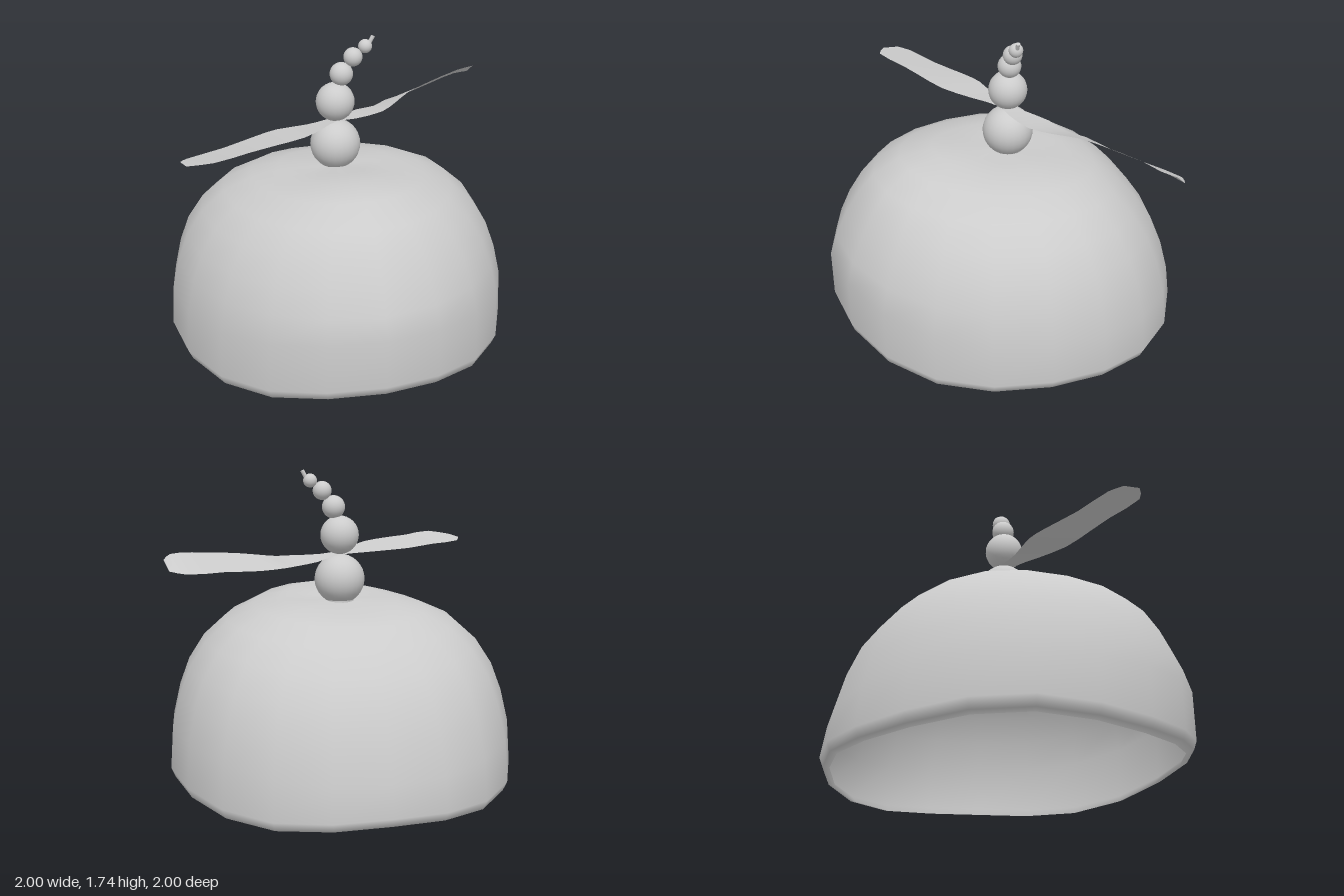
import * as THREE from 'three';

const CX = -0.035;
const AXIS_Z = -0.035;

// Build a surface from rows of points (rows run bottom to top, points counter-clockwise)
function loft(rows, closed) {
  const n = rows[0].length;
  const positions = rows.flat().flatMap((p) => [p.x, p.y, p.z]);
  const index = [];
  for (let i = 0; i < rows.length - 1; i++) {
    for (let j = 0; j < (closed ? n : n - 1); j++) {
      const k = (j + 1) % n;
      const a = i * n + j, b = i * n + k, c = (i + 1) * n + j, d = (i + 1) * n + k;
      index.push(a, b, d, a, d, c);
    }
  }
  const geometry = new THREE.BufferGeometry();
  geometry.setAttribute('position', new THREE.Float32BufferAttribute(positions, 3));
  geometry.setIndex(index);
  geometry.computeVertexNormals();
  return geometry;
}

// Cap profiles [radius, height] from rim to crown, at the front, back and sides
const FRONT = [[0.94, 0.145], [0.985, 0.165], [1, 0.21], [1, 0.48], [0.96, 0.6], [0.9, 0.73],
  [0.82, 0.86], [0.73, 0.96], [0.58, 1.05], [0.4, 1.08], [0.2, 1.055], [0.001, 1.03]];
const BACK = [[0.94, 0.035], [0.975, 0.04], [0.995, 0.085], [0.97, 0.25], [0.92, 0.43], [0.85, 0.6],
  [0.76, 0.73], [0.65, 0.85], [0.52, 0.945], [0.37, 0.985], [0.18, 1.015], [0.001, 1.03]];
const SIDE = [[0.905, 0.065], [0.94, 0.075], [0.965, 0.13], [0.95, 0.36], [0.91, 0.53], [0.855, 0.68],
  [0.765, 0.82], [0.64, 0.93], [0.48, 1.0], [0.32, 1.03], [0.17, 1.03], [0.001, 1.03]];

// One horizontal ring of the cap, blended between the profiles
function capRing(k, scale, drop) {
  const ring = [];
  const wave = [0.04, 0.04, 0.04, 0.015][k] || 0;
  for (let j = 0; j < 20; j++) {
    const t = (j / 20) * Math.PI * 2;
    const s = Math.sin(t), c = Math.cos(t);
    const end = c > 0 ? FRONT[k] : BACK[k];
    const y = end[1] * c * c + SIDE[k][1] * s * s - wave * Math.sin(2 * t) ** 2 - drop;
    ring.push(new THREE.Vector3(
      CX + SIDE[k][0] * s * scale,
      Math.max(y, 0),
      (end[0] * c - 0.045 * Math.abs(s) * SIDE[k][0]) * scale
    ));
  }
  return ring;
}

function capGeometry() {
  const rows = [];
  for (let k = FRONT.length - 1; k >= 2; k--) rows.push(capRing(k, 0.975, 0.02)); // lining
  for (let k = 0; k < FRONT.length; k++) rows.push(capRing(k, 1, 0)); // rolled rim and outside
  return loft(rows, true);
}

// Propeller stations from tip to tip: rear edge x, y, z then front edge x, y, z
const STATIONS = [
  [-0.94, 1.315, 0.43, -0.92, 1.325, 0.52],
  [-0.9, 1.30, 0.36, -0.79, 1.345, 0.56],
  [-0.7, 1.295, 0.25, -0.6, 1.335, 0.45],
  [-0.5, 1.29, 0.11, -0.45, 1.33, 0.375],
  [-0.38, 1.29, 0.045, -0.28, 1.32, 0.28],
  [-0.2, 1.285, 0, -0.15, 1.305, 0.14],
  [-0.08, 1.285, -0.05, -0.04, 1.295, 0.02],
  [0.01, 1.282, -0.1, 0.08, 1.285, -0.02],
  [0.14, 1.265, -0.22, 0.25, 1.29, -0.08],
  [0.26, 1.255, -0.28, 0.36, 1.30, -0.18],
  [0.35, 1.255, -0.36, 0.47, 1.32, -0.28],
  [0.5, 1.255, -0.44, 0.6, 1.34, -0.35],
  [0.7, 1.27, -0.55, 0.85, 1.365, -0.48],
  [0.9, 1.28, -0.67, 0.96, 1.365, -0.53],
  [0.98, 1.295, -0.65, 1.0, 1.345, -0.6],
];

function propellerGeometry() {
  const edge = (o) => new THREE.CatmullRomCurve3(
    STATIONS.map((s) => new THREE.Vector3(s[o], s[o + 1], s[o + 2])));
  const rear = edge(0), front = edge(3);
  const steps = (STATIONS.length - 1) * 2;
  const rows = [[], []];
  for (let i = 0; i <= steps; i++) {
    rows[0].push(front.getPoint(i / steps));
    rows[1].push(rear.getPoint(i / steps));
  }
  return loft(rows, false);
}

export function createModel() {
  const group = new THREE.Group();
  const solid = new THREE.MeshStandardMaterial({ color: 0xcccccc });
  const thin = new THREE.MeshStandardMaterial({ color: 0xcccccc, side: THREE.DoubleSide });
  const add = (name, geometry, material = solid) => {
    const mesh = new THREE.Mesh(geometry, material);
    mesh.name = name;
    group.add(mesh);
    return mesh;
  };

  add('cap', capGeometry(), thin);
  add('propeller', propellerGeometry(), thin);

  // Collar under the lowest bead
  add('collar', new THREE.CylinderGeometry(0.08, 0.08, 0.05, 24)).position.set(CX, 1.02, AXIS_Z);

  // Bead stack that curls to the left: x, y, radius
  const beads = [[CX, 1.145, 0.14], [CX, 1.39, 0.107], [0, 1.545, 0.064], [0.065, 1.635, 0.052], [0.133, 1.69, 0.038]];
  beads.forEach(([x, y, r], i) => {
    add('bead' + (i + 1), new THREE.SphereGeometry(r, 24, 16)).position.set(x, y, AXIS_Z);
  });

  // Stub at the end of the stack
  const tip = add('tip', new THREE.CylinderGeometry(0.011, 0.011, 0.06, 10));
  tip.position.set(0.163, 1.718, AXIS_Z);
  tip.rotation.z = -0.5;

  return group;
}
